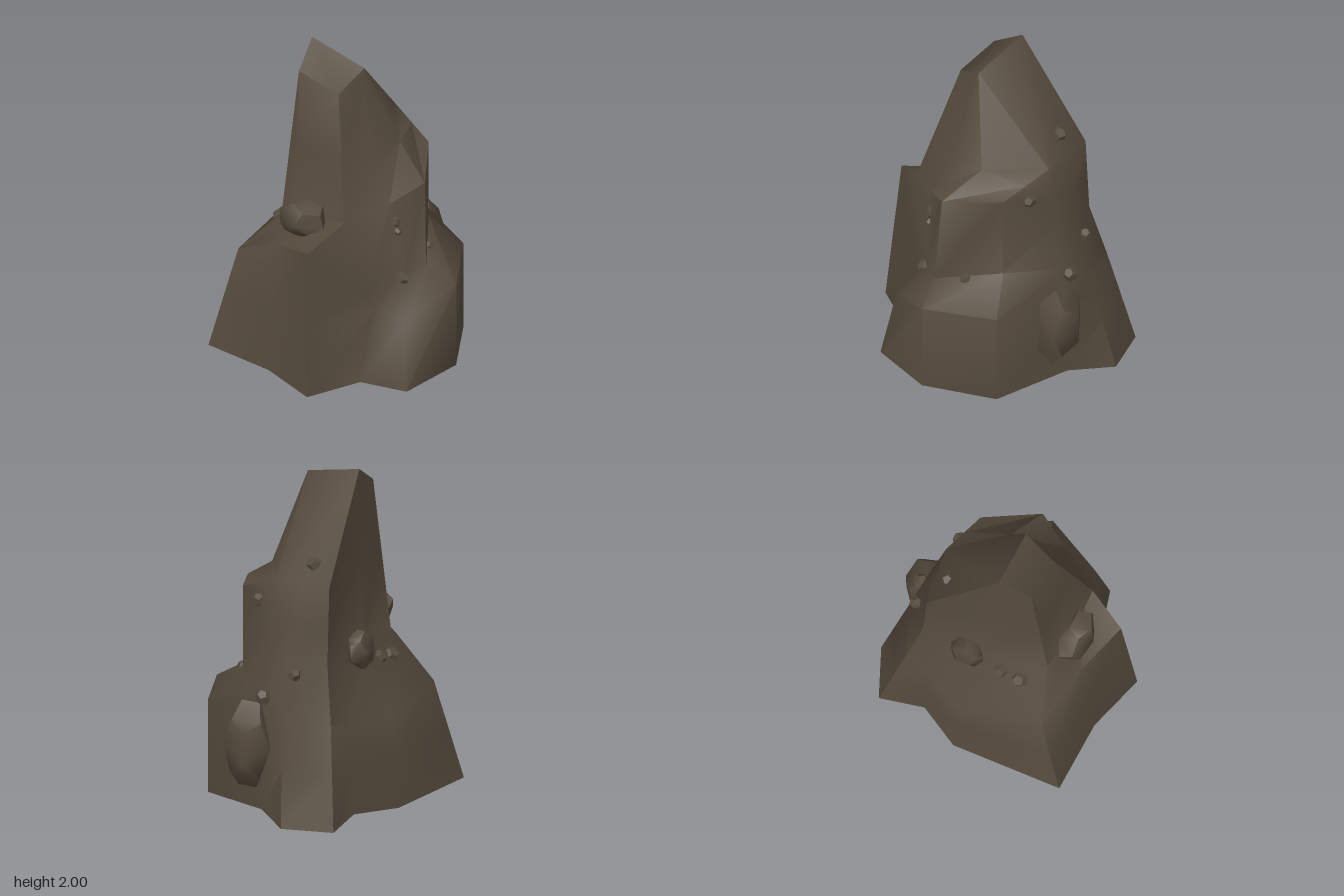
import * as THREE from 'three';
import { toCreasedNormals } from 'three/addons/utils/BufferGeometryUtils.js';

const middle = (a, b) => a.map((v, i) => (v + b[i]) / 2);

// One line of corners up the rock; low and neck default to points halfway along
function profile(base, ledge, upper, top, low = middle(base, ledge), neck = middle(upper, top)) {
  return [base, low, ledge, upper, neck, top];
}

export function createModel() {
  const group = new THREE.Group();
  group.name = 'rockSpire';
  const stone = new THREE.MeshStandardMaterial({ color: 0x554a3c, side: THREE.DoubleSide });
  stone.name = 'brown stone';

  // Corners of the slanted spire top
  const rightPeak = [0.08, 1.92, 0.04], rightLip = [0.03, 1.82, 0.23];
  const leftLip = [-0.25, 1.88, 0.23], leftPeak = [-0.29, 2, 0.04];
  const backA = [-0.38, 1.4, -0.38], backC = [-0.03, 1.4, -0.42];
  const backB = middle(backA, backC);

  // Stepped shoulders on the side
  const shoulderFront = profile([0.59, 0.03, 0.34], [0.42, 0.66, 0.14], [0.35, 1.15, 0.17], rightPeak,
    [0.53, 0.45, 0.27], [0.2, 1.32, 0.13]);
  const shoulderSide = profile([0.66, 0.03, -0.06], [0.49, 0.68, 0], [0.46, 1.23, -0.03], rightPeak,
    [0.66, 0.58, -0.06], [0.22, 1.38, -0.12]);
  const shoulderBack = profile([0.44, 0.01, -0.45], [0.27, 0.77, -0.34], [0.27, 1.28, -0.34], backC,
    [0.44, 0.58, -0.45]);

  // Ledge and skirt at the front
  const seam = profile([0.31, 0.03, 0.41], [0.31, 0.62, 0.34], [0.2, 1.09, 0.41], rightLip, [0.34, 0.48, 0.31]);
  const nose = profile([0.15, 0.03, 0.72], [0.1, 0.96, 0.64], [0.1, 1.06, 0.41], rightLip);
  const hollow = profile([-0.2, 0.03, 0.61], [-0.2, 0.85, 0.52], [-0.18, 0.98, 0.38], leftLip);
  const skirtFront = profile([-0.64, 0.03, 0.59], [-0.54, 0.65, 0.43], [-0.29, 0.94, 0.35], leftLip);
  const skirtSide = profile([-0.66, 0.03, -0.08], [-0.62, 0.6, -0.07], [-0.37, 0.92, -0.02], leftPeak);
  const skirtBack = profile([-0.52, 0.03, -0.33], [-0.5, 0.56, -0.33], [-0.38, 0.93, -0.39], backA);

  // Buttress leaning on the back
  const buttressA = profile([-0.57, 0, -0.6], [-0.46, 0.6, -0.475], [-0.385, 0.94, -0.405], backA);
  const buttressB = profile([-0.28, 0, -0.72], [-0.19, 0.65, -0.585], [-0.17, 0.95, -0.51], backB);
  const buttressC = profile([-0.03, 0.03, -0.57], [-0.03, 0.75, -0.55], [-0.03, 1.05, -0.49], backC);

  // Skin neighbouring profiles together, leaving the base open
  const around = [shoulderSide, shoulderFront, seam, nose, hollow, skirtFront, skirtSide, skirtBack,
    buttressA, buttressB, buttressC, shoulderBack];
  const points = [];
  const tri = (...corners) => corners.forEach((c) => points.push(...c));
  around.forEach((p, i) => {
    const q = around[(i + 1) % around.length];
    for (let k = 0; k < p.length - 1; k++) {
      tri(p[k], p[k + 1], q[k]);
      if (p[k + 1] !== q[k + 1]) tri(q[k], p[k + 1], q[k + 1]);
    }
  });
  // Front and back facets of the top, fanned from the peak
  const rim = [leftLip, rightLip, rightPeak, backC, backB, backA];
  for (let i = 0; i < rim.length - 1; i++) tri(leftPeak, rim[i], rim[i + 1]);

  const shell = new THREE.BufferGeometry();
  shell.setAttribute('position', new THREE.Float32BufferAttribute(points, 3));
  const rock = new THREE.Mesh(toCreasedNormals(shell, 0.9), stone);
  rock.name = 'spire';
  group.add(rock);

  // Boulders and pebbles, faceted and slightly turned
  function addStone(name, centre, radii, turn, crease) {
    const shape = new THREE.DodecahedronGeometry(1);
    shape.rotateY(turn * 5);
    shape.scale(...radii);
    const mesh = new THREE.Mesh(toCreasedNormals(shape, crease), stone);
    mesh.name = name;
    mesh.position.set(...centre);
    mesh.rotation.z = turn;
    group.add(mesh);
  }
  addStone('frontBoulder', [-0.075, 1.035, 0.435], [0.175, 0.12, 0.105], 0.25, 1.2);
  addStone('sideBoulder', [-0.41, 0.96, -0.11], [0.075, 0.125, 0.11], 0, 1.2);
  addStone('backBoulder', [0.05, 0.42, -0.58], [0.16, 0.28, 0.13], 0.05, 1.2);

  // Pebbles: x, y, z, width, height
  const pebbles = [
    [-0.39, 0.85, 0.1, 0.045, 0.045], [-0.38, 0.83, 0.22, 0.055, 0.05],
    [0.365, 1.03, 0.14, 0.03, 0.05], [0.385, 0.96, 0.14, 0.022, 0.03],
    [0.42, 0.66, 0.15, 0.035, 0.05], [0.4, 0.71, -0.16, 0.035, 0.035],
    [0.11, 1.24, -0.4, 0.04, 0.045], [-0.225, 1.5, -0.31, 0.05, 0.045],
    [-0.23, 0.88, -0.52, 0.04, 0.04], [-0.05, 0.72, -0.575, 0.045, 0.05],
  ];
  pebbles.forEach(([x, y, z, w, h], i) => addStone('pebble', [x, y, z], [w, h, w], i * 0.3, 0.5));

  return group;
}
